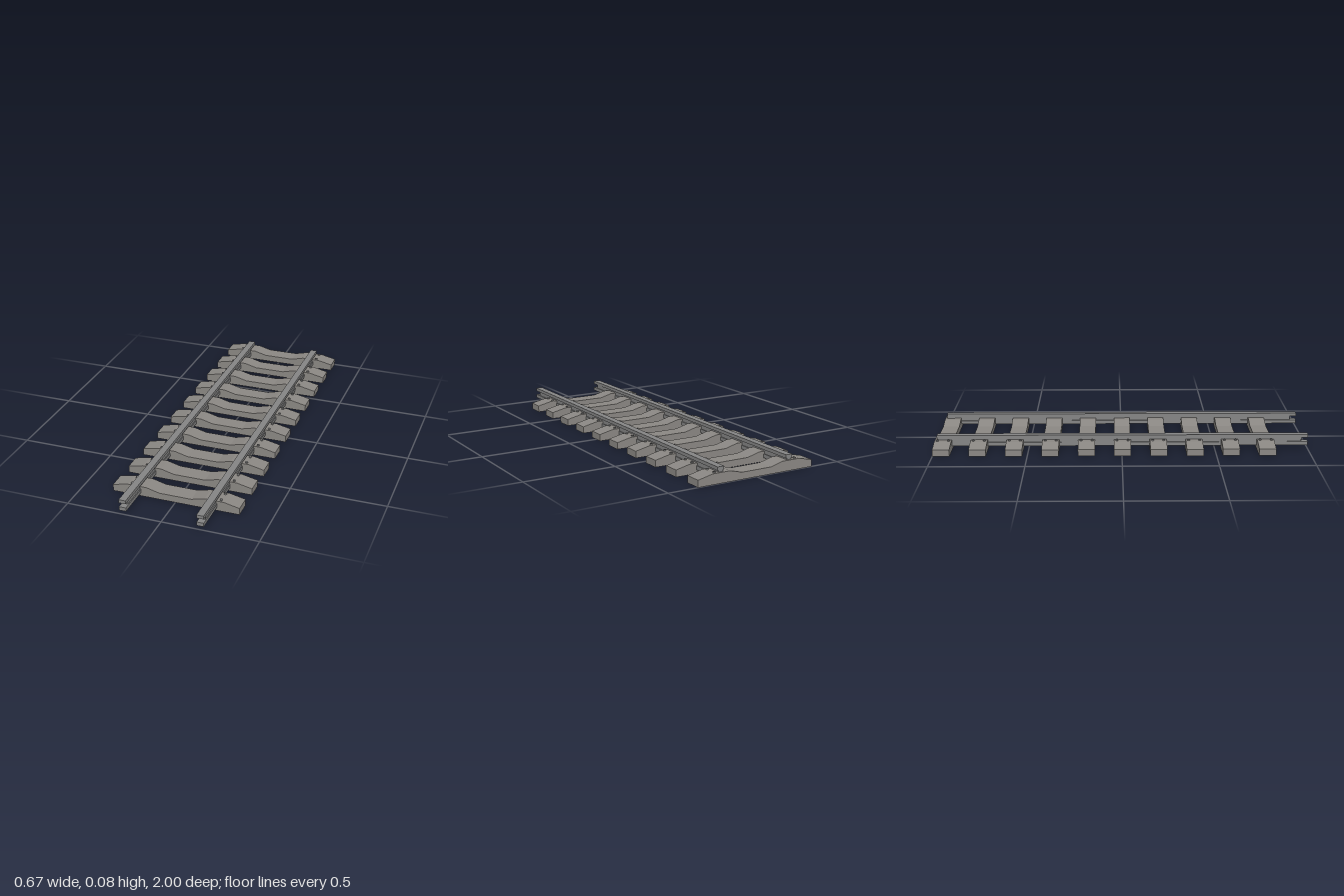
import * as THREE from 'three';

const concrete = new THREE.MeshStandardMaterial({ color: 0x8a8783 });
concrete.name = 'concrete';
const steel = new THREE.MeshStandardMaterial({ color: 0x848484 });
steel.name = 'steel';

const SLEEPERS = 10, FIRST_Z = -0.955, PITCH = 0.1917, WIDTH = 0.09, RAIL_X = 0.202;

function box(name, width, y0, y1, z0, z1) {
  const mesh = new THREE.Mesh(new THREE.BoxGeometry(width, y1 - y0, z1 - z0), steel);
  mesh.position.set(0, (y0 + y1) / 2, (z0 + z1) / 2);
  mesh.name = name;
  return mesh;
}

// Sleeper: raised rail seats, sloping ends and a lower middle
function sleeperGeometry() {
  const half = [[0.085, 0.036], [0.155, 0.054], [0.255, 0.054], [0.337, 0.036], [0.337, 0]];
  const right = half.map(([x, y]) => new THREE.Vector2(x, y));
  const left = half.map(([x, y]) => new THREE.Vector2(-x, y)).reverse();
  const geometry = new THREE.ExtrudeGeometry(new THREE.Shape([...left, ...right]), { depth: WIDTH, bevelEnabled: false });
  return geometry.translate(0, 0, -WIDTH / 2);
}

// Rail: head, recessed web and foot
function makeRail(side) {
  const rail = new THREE.Group();
  rail.name = side > 0 ? 'leftRail' : 'rightRail';
  rail.add(
    box('railHead', 0.037, 0.062, 0.08, -0.99, 1),
    box('railWeb', 0.027, 0.039, 0.063, -0.99, 0.965),
    box('railFoot', 0.037, 0.02, 0.04, -0.99, 1),
  );
  rail.position.x = side * RAIL_X;
  return rail;
}

export function createModel() {
  const track = new THREE.Group();
  track.name = 'railwayTrack';
  track.add(makeRail(1), makeRail(-1));

  const sleeperShape = sleeperGeometry();
  const boltShape = new THREE.CylinderGeometry(0.007, 0.007, 0.008, 8);
  for (let i = 0; i < SLEEPERS; i++) {
    const group = new THREE.Group();
    group.name = 'sleeperAssembly';
    group.position.z = FIRST_Z + i * PITCH;
    const sleeper = new THREE.Mesh(sleeperShape, concrete);
    sleeper.name = 'sleeper';
    group.add(sleeper);
    // Two fastening bolts outside each rail
    for (const x of [-0.237, 0.237]) {
      for (const z of [-0.03, 0.03]) {
        const bolt = new THREE.Mesh(boltShape, steel);
        bolt.name = 'fasteningBolt';
        bolt.position.set(x, 0.056, z);
        group.add(bolt);
      }
    }
    track.add(group);
  }
  return track;
}
